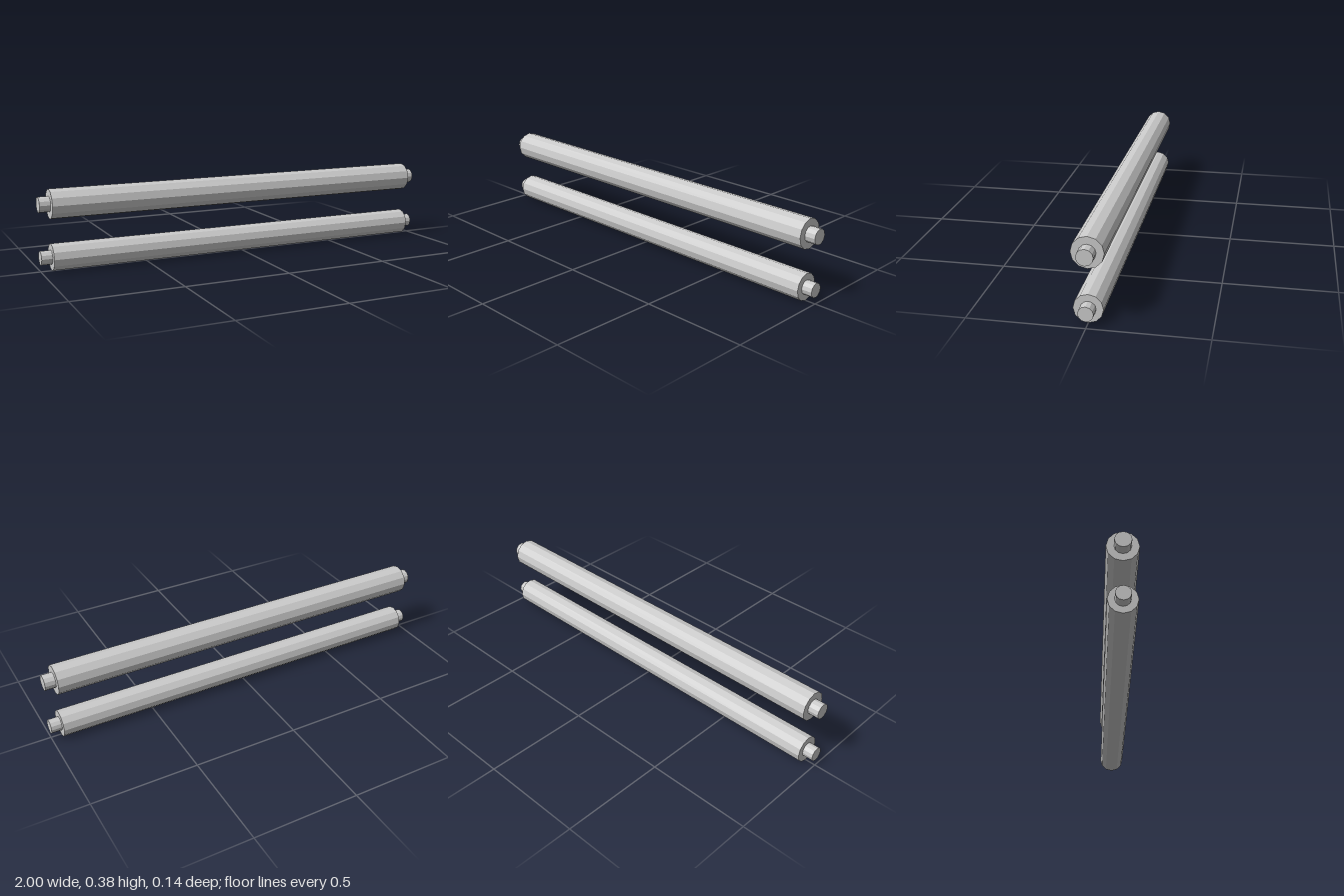
import * as THREE from 'three';

const SIDES = 12;
const BODY_HALF = 0.95; // half length of the thick roller body
const PIN_LENGTH = 0.05;

const material = new THREE.MeshStandardMaterial({ color: 0xcccccc, flatShading: true });

// Twelve-sided cylinder lying along x, with a corner pointing up
function bar(name, radius, length, x) {
  const geometry = new THREE.CylinderGeometry(radius, radius, length, SIDES);
  geometry.rotateZ(-Math.PI / 2);
  const mesh = new THREE.Mesh(geometry, material);
  mesh.name = name;
  mesh.position.x = x;
  return mesh;
}

// Thick body with a thinner axle pin at each end
function roller(name, y, bodyRadius, pinRadius) {
  const group = new THREE.Group();
  group.name = name;
  group.position.y = y;
  group.add(bar('rollerBody', bodyRadius, 2 * BODY_HALF, 0));
  for (const [side, s] of [['left', 1], ['right', -1]]) {
    group.add(bar(side + 'AxlePin', pinRadius, PIN_LENGTH, s * (BODY_HALF + PIN_LENGTH / 2)));
  }
  return group;
}

export function createModel() {
  const model = new THREE.Group();
  model.name = 'rollerPair';
  model.add(roller('upperRoller', 0.308, 0.069, 0.036));
  model.add(roller('lowerRoller', 0.064, 0.063, 0.033));
  return model;
}
